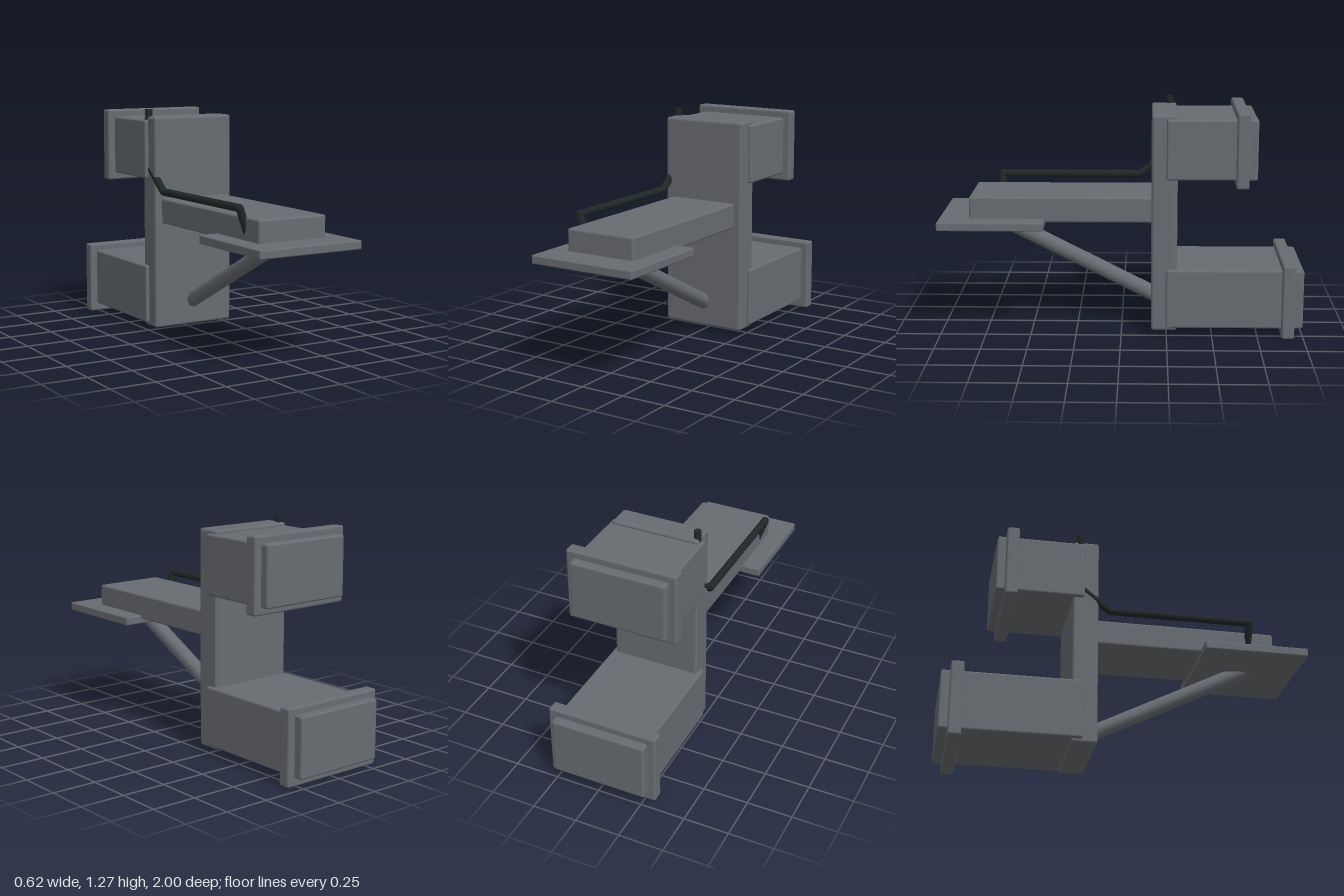
import * as THREE from 'three';
import { RoundedBoxGeometry } from 'three/addons/geometries/RoundedBoxGeometry.js';

export function createModel() {
  const group = new THREE.Group();
  const grey = new THREE.MeshStandardMaterial({ color: 0x686c71 });
  grey.name = 'steel grey';
  const dark = new THREE.MeshStandardMaterial({ color: 0x1f2827 });
  dark.name = 'dark pipe';

  function add(name, geometry, material) {
    const mesh = new THREE.Mesh(geometry, material);
    mesh.name = name;
    group.add(mesh);
    return mesh;
  }

  // Softly bevelled box, symmetric in x, given by its y and z limits
  function block(name, halfWidth, y0, y1, z0, z1, bevel = 0.012) {
    const geometry = new RoundedBoxGeometry(halfWidth * 2, y1 - y0, z1 - z0, 2, bevel);
    add(name, geometry, grey).position.set(0, (y0 + y1) / 2, (z0 + z1) / 2);
  }

  // Eight-sided rod between two points
  function rod(name, a, b, radius, material) {
    const dir = b.clone().sub(a);
    const mesh = add(name, new THREE.CylinderGeometry(radius, radius, dir.length(), 8), material);
    mesh.position.copy(a).add(b).multiplyScalar(0.5);
    mesh.quaternion.setFromUnitVectors(new THREE.Vector3(0, 1, 0), dir.normalize());
  }

  // Upright column
  block('column', 0.248, 0.03, 1.23, -0.306, -0.165, 0.015);

  // Rear boxes with their collars
  block('upperBox', 0.268, 0.88, 1.21, -0.735, -0.245);
  block('upperCollar', 0.31, 0.84, 1.25, -0.687, -0.618);
  block('lowerBox', 0.268, 0.05, 0.38, -1, -0.245);
  block('lowerCollar', 0.31, 0.003, 0.418, -0.95, -0.88);

  // Forward arm and the plate beneath its tip
  block('arm', 0.205, 0.63, 0.772, -0.2, 0.832);
  block('platform', 0.31, 0.604, 0.652, 0.42, 1, 0.008);

  // Diagonal brace under the arm
  rod('brace', new THREE.Vector3(0, 0.15, -0.22), new THREE.Vector3(0, 0.633, 0.73), 0.045, grey);

  // Bent pipe running through the column and along the arm
  const path = [
    [-0.231, 1.27, -0.267], [-0.231, 0.95, -0.267], [-0.231, 0.818, -0.1],
    [-0.231, 0.818, 0.69], [-0.175, 0.66, 0.69],
  ].map((p) => new THREE.Vector3(...p));
  const pipeRadius = 0.0215;
  for (let i = 1; i < path.length; i++) {
    rod('pipe' + i, path[i - 1], path[i], pipeRadius, dark);
    if (i < path.length - 1) {
      add('pipeElbow' + i, new THREE.SphereGeometry(pipeRadius, 8, 6), dark).position.copy(path[i]);
    }
  }
  return group;
}
